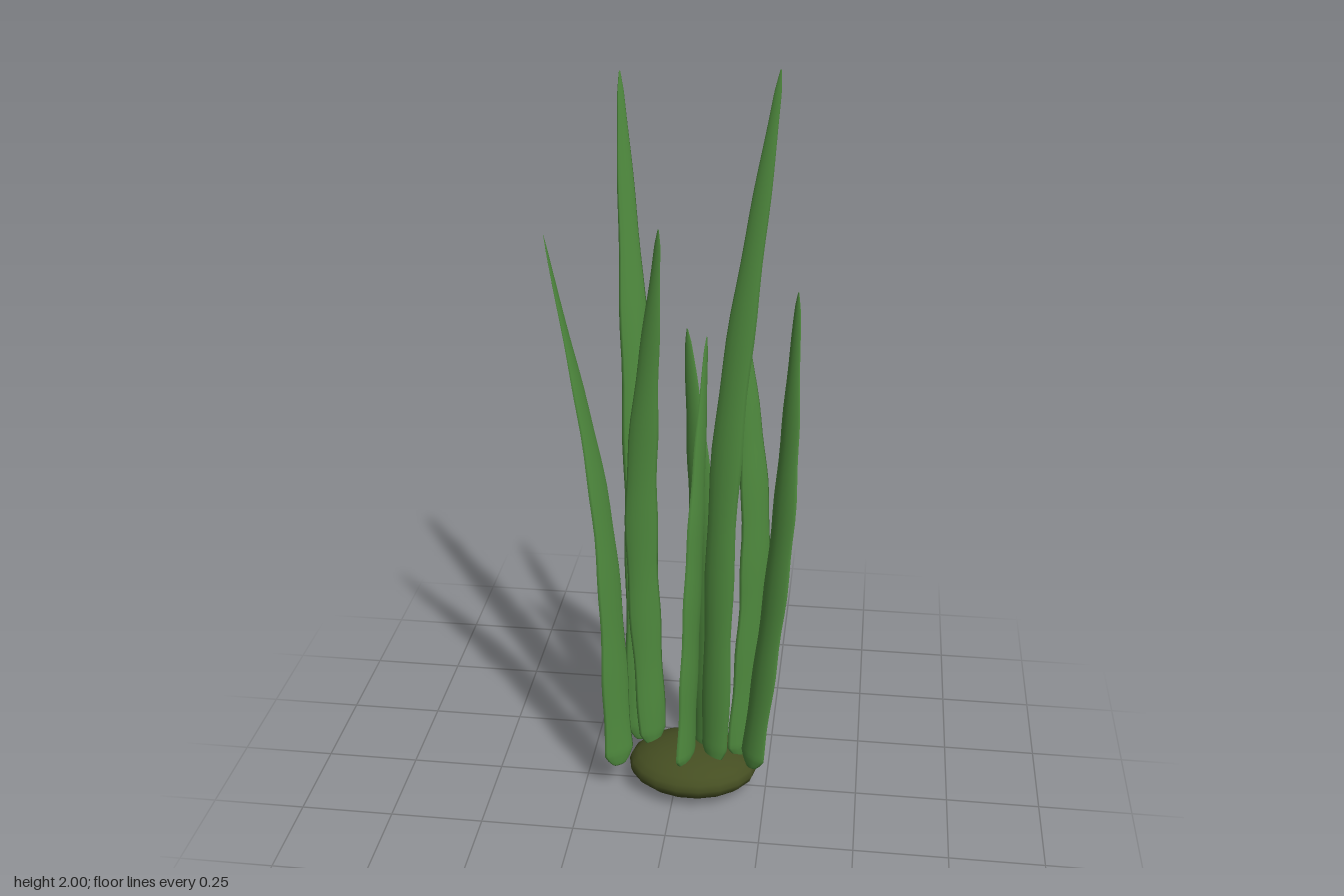
import * as THREE from 'three';

const leafGreen = new THREE.MeshStandardMaterial({ color: 0x4f8a3e });
leafGreen.name = 'leafGreen';
const mossBrown = new THREE.MeshStandardMaterial({ color: 0x454e22 });
mossBrown.name = 'mossBrown';

// Relative width along the blade: rounded foot, even lower half, long taper to a small rounded tip
function widthAt(t) {
  const foot = Math.min(1, Math.sqrt((t + 0.004) / 0.03));
  const taper = 1 - 0.85 * Math.max(0, (t - 0.45) / 0.55) ** 1.8;
  const tip = Math.min(1, Math.sqrt((1.002 - t) / 0.03));
  return foot * taper * tip;
}

// A blade is a thin cupped lens swept up a curve while it twists
function bladeGeometry(foot, middle, tip, half, turn, cup, phase) {
  const curve = new THREE.CatmullRomCurve3([foot, middle, tip].map(p => new THREE.Vector3(...p)));
  const rows = 48, sides = 12, pos = [], index = [];
  for (let r = 0; r <= rows; r++) {
    // Rows gather towards both ends
    const u = r / rows;
    const t = u - 0.14 * Math.sin(u * Math.PI * 2);
    const c = curve.getPoint(t);
    const w = half * widthAt(t) * (1 + 0.05 * Math.sin(t * 34 + phase));
    const angle = THREE.MathUtils.degToRad(THREE.MathUtils.lerp(turn[0], turn[1], t));
    const ca = Math.cos(angle), sa = Math.sin(angle);
    for (let s = 0; s < sides; s++) {
      const a = s / sides * Math.PI * 2;
      const across = Math.cos(a) * w;
      const depth = Math.sin(a) * 0.14 * w + cup * w * (Math.cos(a) ** 2 - 0.5);
      pos.push(c.x + across * ca - depth * sa, c.y, c.z + across * sa + depth * ca);
    }
  }
  for (let r = 0; r < rows; r++) {
    for (let s = 0; s < sides; s++) {
      const a = r * sides + s, b = r * sides + (s + 1) % sides;
      index.push(a, a + sides, b, b, a + sides, b + sides);
    }
  }
  // Close both ends
  const top = rows * sides;
  for (let s = 1; s < sides - 1; s++) {
    index.push(0, s, s + 1, top, top + s + 1, top + s);
  }
  const geo = new THREE.BufferGeometry();
  geo.setAttribute('position', new THREE.Float32BufferAttribute(pos, 3));
  geo.setIndex(index);
  geo.computeVertexNormals();
  return geo;
}

export function createModel() {
  const model = new THREE.Group();
  model.name = 'grassClump';

  // Flattened root mound
  const mound = new THREE.Mesh(new THREE.SphereGeometry(1, 18, 12), mossBrown);
  mound.name = 'rootMound';
  mound.scale.set(0.178, 0.065, 0.143);
  mound.position.set(0.047, 0.065, 0);
  model.add(mound);

  // Foot, middle, tip, half width, turn of the width (degrees, foot to tip), cupping
  function addBlade(name, foot, middle, tip, half, turn, cup) {
    const blade = new THREE.Mesh(bladeGeometry(foot, middle, tip, half, turn, cup, model.children.length * 1.7), leafGreen);
    blade.name = name;
    model.add(blade);
  }
  addBlade('outerRightBlade', [-0.148, 0.085, 0.062], [-0.188, 0.86, 0.047], [-0.318, 1.59, 0.037], 0.046, [-42, -95], -0.12);
  addBlade('tallBackBlade', [-0.1, 0.1, -0.045], [-0.103, 1.03, -0.055], [-0.155, 1.95, -0.14], 0.046, [-25, -42], -0.2);
  addBlade('innerRightBlade', [-0.066, 0.1, -0.025], [-0.093, 0.87, -0.005], [-0.042, 1.61, 0.02], 0.042, [-40, 35], -0.2);
  addBlade('frontBlade', [0.036, 0.1, 0.065], [0.055, 0.74, 0.045], [0.075, 1.335, 0], 0.047, [-65, -72], -0.2);
  addBlade('middleBlade', [0.085, 0.1, 0], [0.07, 0.74, 0], [0.024, 1.345, -0.02], 0.042, [25, 25], -0.2);
  addBlade('tallFrontBlade', [0.107, 0.1, 0.045], [0.132, 1.05, 0.045], [0.242, 2.0, 0.028], 0.041, [25, 10], -0.2);
  addBlade('innerLeftBlade', [0.182, 0.1, 0], [0.208, 0.78, -0.01], [0.16, 1.42, -0.012], 0.045, [-38, -35], -0.2);
  addBlade('outerLeftBlade', [0.208, 0.095, 0.045], [0.272, 0.8, 0.015], [0.295, 1.445, -0.04], 0.044, [45, 45], -0.2);
  return model;
}
